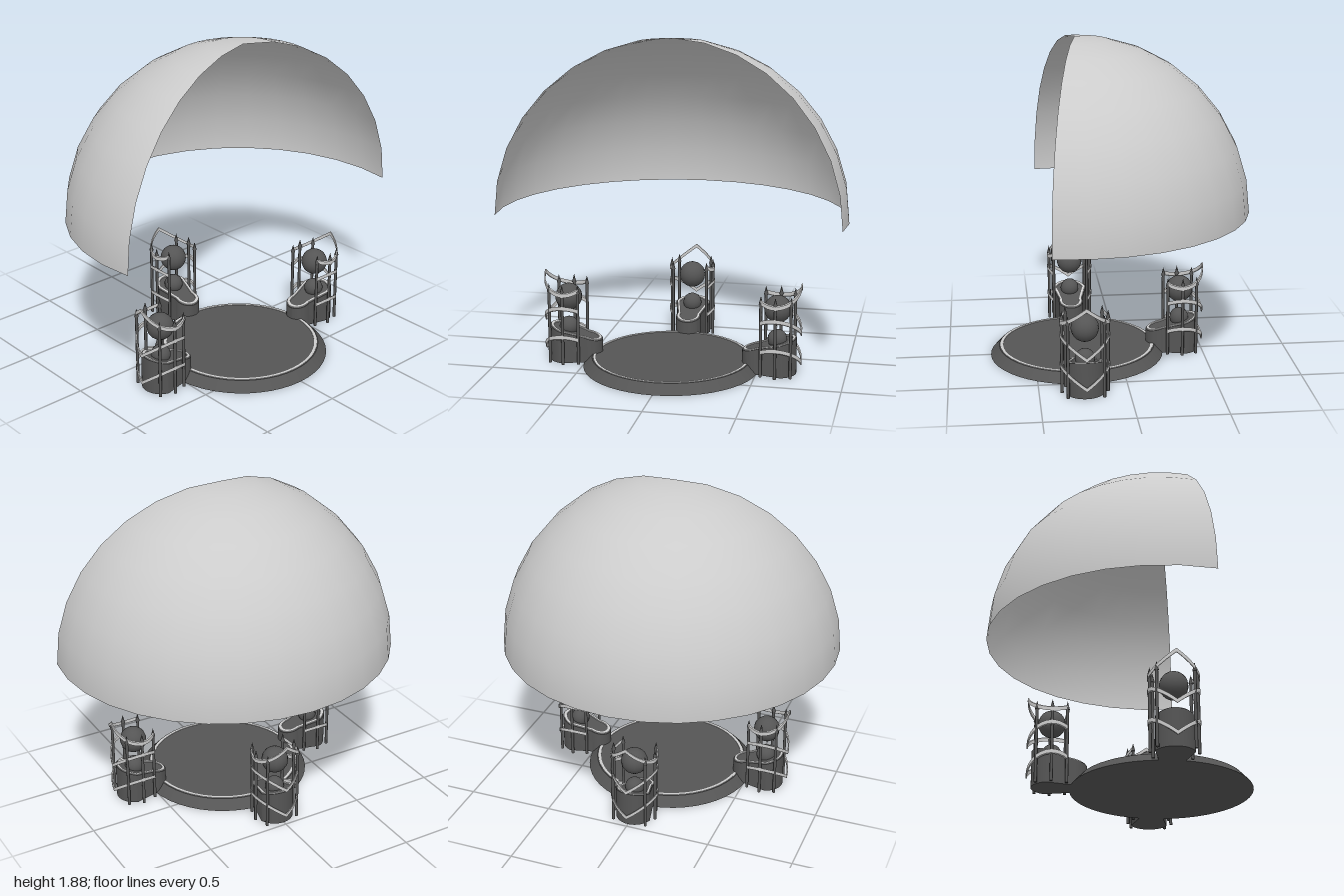
import * as THREE from 'three';
import { toCreasedNormals } from 'three/addons/utils/BufferGeometryUtils.js';

const CENTER_Z = 0.245;   // common axis of stage and dome
const POD_R = 0.612;      // distance of each pod from that axis

const light = new THREE.MeshStandardMaterial({ color: 0xcccccc });
const lightOpen = new THREE.MeshStandardMaterial({ color: 0xcccccc, side: THREE.DoubleSide });
const dark = new THREE.MeshStandardMaterial({ color: 0x555555 });

function add(parent, name, geometry, material, x = 0, y = 0, z = 0) {
  const mesh = new THREE.Mesh(geometry, material);
  mesh.name = name;
  mesh.position.set(x, y, z);
  parent.add(mesh);
  return mesh;
}

// Moves every vertex of a geometry by a rule
function warp(geometry, rule) {
  const p = geometry.attributes.position;
  const v = new THREE.Vector3();
  for (let i = 0; i < p.count; i++) {
    rule(v.fromBufferAttribute(p, i));
    p.setXYZ(i, v.x, v.y, v.z);
  }
  return toCreasedNormals(geometry, 0.6);
}

// Teardrop plan: a large outer circle joined by tangents to a smaller inner one
function teardrop(PathType, inset) {
  const R = 0.11, r = 0.075, inner = 0.487;
  const a = Math.acos((R - r) / (POD_R - inner));
  const path = new PathType();
  path.absarc(POD_R, 0, R - inset, -a, a, false);
  path.absarc(inner, 0, r - inset, a, 2 * Math.PI - a, false);
  path.closePath();
  return path;
}

// Height of the slanted plinth top, rising outwards
const slant = (x) => 0.125 + 0.27 * (x - 0.41);

function plinthGeometry() {
  const g = new THREE.ExtrudeGeometry(teardrop(THREE.Shape, 0), { depth: 1, bevelEnabled: false, curveSegments: 14 });
  g.rotateX(-Math.PI / 2);
  return warp(g, (v) => { v.y *= slant(v.x); });
}

function trimGeometry() {
  const shape = teardrop(THREE.Shape, 0.006);
  shape.holes.push(teardrop(THREE.Path, 0.022));
  const g = new THREE.ExtrudeGeometry(shape, { depth: 0.008, bevelEnabled: false, curveSegments: 14 });
  g.rotateX(-Math.PI / 2);
  return warp(g, (v) => { v.y += slant(v.x) - 0.002; });
}

// Strip wrapped round the posts, forming a chevron on the outer side
function bandGeometry(tipY, slope) {
  const g = new THREE.BoxGeometry(0.007, 0.022, 1, 1, 1, 24);
  return warp(g, (v) => {
    const radius = 0.136 + v.x, angle = v.z * 4.5;
    v.set(POD_R + radius * Math.cos(angle), 0, radius * Math.sin(angle)).setY(
      tipY + v.y + slope * Math.abs(radius * Math.sin(angle)));
    return v;
  });
}

// Same strip with its height kept while it is wrapped
function chevronBand(tipY, slope) {
  const g = new THREE.BoxGeometry(0.007, 0.022, 1, 1, 1, 24);
  return warp(g, (v) => {
    const radius = 0.136 + v.x, angle = v.z * 4.5;
    const side = radius * Math.sin(angle);
    v.set(POD_R + radius * Math.cos(angle), tipY + v.y + slope * Math.abs(side), side);
  });
}

function createPod() {
  const pod = new THREE.Group();
  add(pod, 'plinth', plinthGeometry(), dark);
  add(pod, 'plinthTrim', trimGeometry(), light);
  add(pod, 'lowerSphere', new THREE.SphereGeometry(0.056, 16, 12), dark, POD_R, 0.197, 0);
  add(pod, 'upperSphere', new THREE.SphereGeometry(0.078, 16, 12), dark, POD_R, 0.375, 0);

  // Cage of six spiked posts
  const post = new THREE.CylinderGeometry(0.009, 0.009, 0.425, 8);
  const spike = new THREE.ConeGeometry(0.013, 0.05, 8);
  for (const [dx, z] of [[-0.082, 0.103], [0.003, 0.128], [0.088, 0.1]]) {
    for (const s of [-1, 1]) {
      add(pod, 'post', post, dark, POD_R + dx, 0.2125, s * z);
      add(pod, 'postSpike', spike, dark, POD_R + dx, 0.45, s * z);
    }
  }

  // The top band points up, the lower two point down
  add(pod, 'topBand', chevronBand(0.52, -0.75), light);
  add(pod, 'middleBand', chevronBand(0.235, 0.75), light);
  add(pod, 'lowerBand', chevronBand(0.063, 0.75), light);
  return pod;
}

export function createModel() {
  const model = new THREE.Group();
  model.name = 'domedStage';

  // Round stage with a sloping edge and an inlaid ring
  add(model, 'stage', new THREE.CylinderGeometry(0.46, 0.51, 0.054, 48), dark, 0, 0.027, CENTER_Z);
  const ring = [[0.438, 0.05], [0.454, 0.05], [0.454, 0.057], [0.438, 0.057], [0.438, 0.05]]
    .map(([x, y]) => new THREE.Vector2(x, y));
  add(model, 'stageRing', toCreasedNormals(new THREE.LatheGeometry(ring, 48), 0.6), light, 0, 0, CENTER_Z);

  // Pods on the left, back and right of the stage
  ['leftPod', 'backPod', 'rightPod'].forEach((name, i) => {
    const pod = createPod();
    pod.name = name;
    pod.position.z = CENTER_Z;
    pod.rotation.y = i * Math.PI / 2;
    model.add(pod);
  });

  // Open-fronted dome floating above the stage
  const step = Math.PI / 16;
  add(model, 'dome', new THREE.SphereGeometry(1, 18, 8, Math.PI - step, Math.PI + 2 * step, 0, Math.PI / 2),
    lightOpen, 0, 0.885, CENTER_Z);
  return model;
}
